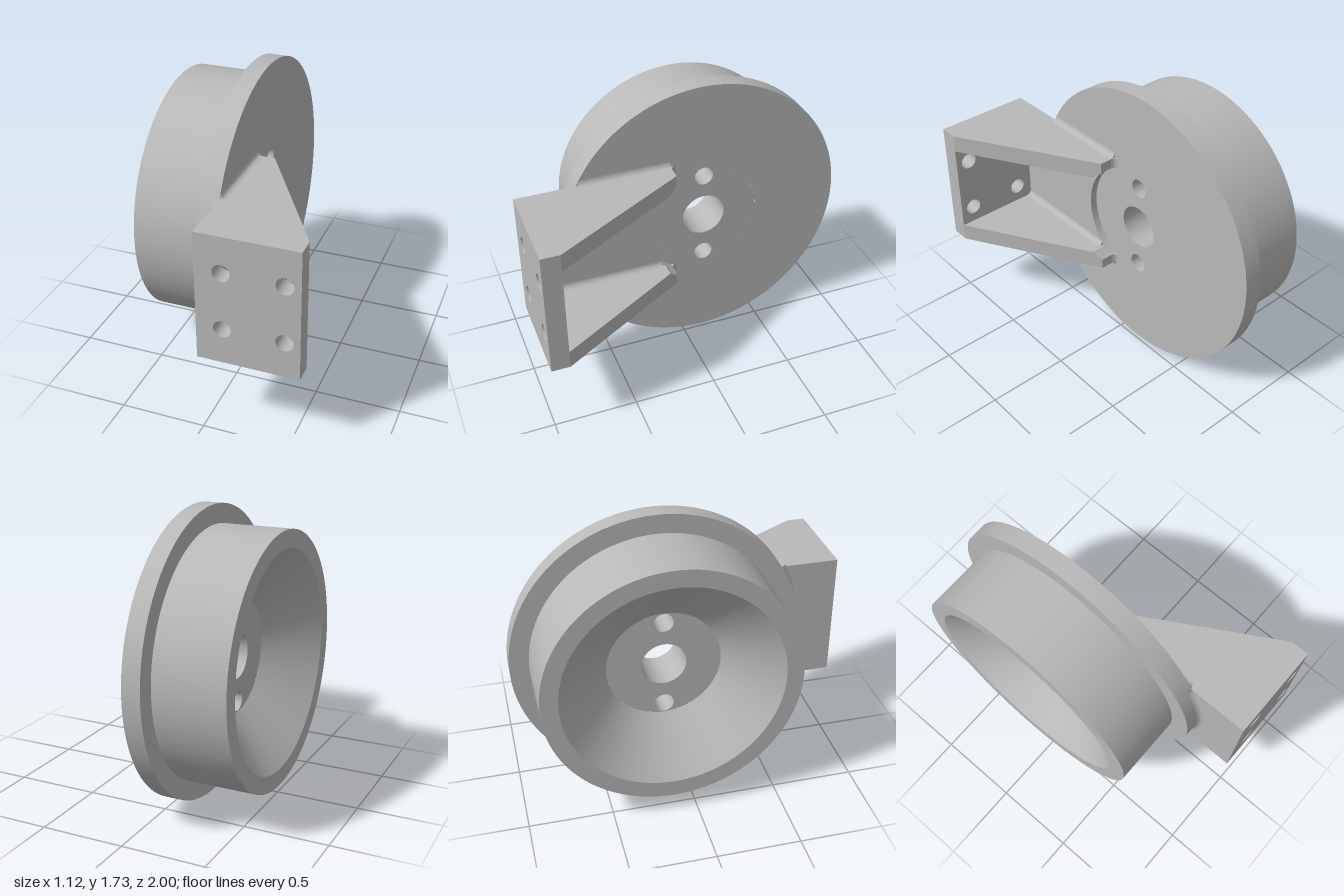
import * as THREE from 'three';
import { toCreasedNormals } from 'three/addons/utils/BufferGeometryUtils.js';

const CY = 0.867, CZ = -0.133;        // wheel axis (runs along x)
const FACE = -0.022;                  // outer face of the flange
const PLATE_Z = 0.89;                 // inner face of the mounting plate
const RIB_IN = 0.28, RIB_OUT = 0.388; // rib sides, measured from the axis
const RIB_END = 0.078;                // z where the ribs start
const RELIEF = 0.387;                 // round clearance about the hub
const FILLET = 0.034;

const steel = new THREE.MeshStandardMaterial({ color: 0xb8b8b8 });
steel.name = 'plain grey';

const V = (x, y) => new THREE.Vector2(x, y);

function hole(shape, x, y, r) {
  const p = new THREE.Path();
  p.absarc(x, y, r, 0, Math.PI * 2, true);
  shape.holes.push(p);
}

function extrude(shape, depth) {
  return new THREE.ExtrudeGeometry(shape, { depth, bevelEnabled: false, curveSegments: 32 });
}

// Shape drawn in (-z, y), extruded along +x
function extrudeX(shape, x0, x1) {
  return extrude(shape, x1 - x0).rotateY(Math.PI / 2).translate(x0, 0, 0);
}

// Clearance arc point at height h from the axis, in (-z, y)
const reliefPoint = (h) => V(-(CZ + Math.sqrt(RELIEF * RELIEF - h * h)), CY + h);

// Concave corner strip, extruded along z, spreading to +x and sy * y
function filletStrip(sy, length) {
  const pts = [V(0, 0)];
  for (let i = 0; i <= 8; i++) {
    const a = (i / 8) * Math.PI / 2;
    pts.push(V(FILLET * (1 - Math.sin(a)), sy * FILLET * (1 - Math.cos(a))));
  }
  return extrude(new THREE.Shape(pts), length);
}

export function createModel() {
  const model = new THREE.Group();
  model.name = 'flangedWheelBracket';
  const add = (name, geometry) => {
    const mesh = new THREE.Mesh(toCreasedNormals(geometry, 0.5), steel);
    mesh.name = name;
    model.add(mesh);
    return mesh;
  };

  // Drum, conical recess and flange in one turned ring
  const HUB_R = 0.338, HUB_X = -0.29;
  const ring = [
    V(HUB_R, HUB_X), V(0.65, -0.563), V(0.753, -0.563), V(0.753, -0.133),
    V(0.867, -0.133), V(0.867, FACE), V(HUB_R, FACE),
  ];
  add('drumAndFlange', new THREE.LatheGeometry(ring, 128)
    .rotateZ(-Math.PI / 2).translate(0, CY, CZ));

  // Hub floor with the axle bore and two pin holes
  const hub = new THREE.Shape();
  hub.absarc(0, 0, HUB_R, 0, Math.PI * 2, false);
  hole(hub, 0, 0, 0.133);
  hole(hub, 0, 0.275, 0.058);
  hole(hub, 0, -0.275, 0.058);
  add('hub', extrudeX(hub, HUB_X, FACE).translate(0, CY, CZ));

  // Mounting plate with four bolt holes
  const plate = new THREE.Shape([
    V(FACE, CY - RIB_OUT), V(0.56, CY - RIB_OUT), V(0.56, CY + RIB_OUT), V(FACE, CY + RIB_OUT),
  ]);
  for (const x of [0.127, 0.473])
    for (const s of [-1, 1]) hole(plate, x, CY + s * 0.173, 0.05);
  add('mountingPlate', extrude(plate, 1 - PLATE_Z).translate(0, 0, PLATE_Z));

  // Thin web between the ribs, cut round about the hub
  const BASE_X = 0.022;
  const web = [V(-PLATE_Z, CY - RIB_IN)];
  for (let i = 0; i <= 32; i++) web.push(reliefPoint(RIB_IN * (i / 16 - 1)));
  web.push(V(-PLATE_Z, CY + RIB_IN));
  add('web', extrudeX(new THREE.Shape(web), FACE, BASE_X));

  // Sloping ribs with their fillets
  const tip = Math.sqrt(RELIEF ** 2 - (RIB_END - CZ) ** 2);
  for (const s of [1, -1]) {
    const side = s > 0 ? 'upper' : 'lower';
    const outline = [V(-PLATE_Z, CY + s * RIB_IN)];
    for (let i = 0; i <= 6; i++) outline.push(reliefPoint(s * (RIB_IN + (tip - RIB_IN) * i / 6)));
    outline.push(V(-RIB_END, CY + s * RIB_OUT), V(-PLATE_Z, CY + s * RIB_OUT));
    const rib = extrudeX(new THREE.Shape(outline), 0, 1);
    const p = rib.attributes.position;
    for (let i = 0; i < p.count; i++) {
      const t = (p.getZ(i) - RIB_END) / (PLATE_Z - RIB_END);
      p.setX(i, p.getX(i) > 0.5 ? 0.083 + t * 0.477 : FACE);
    }
    add(side + 'Rib', rib);

    add(side + 'OuterFillet', filletStrip(s, 0.63 - RIB_END)
      .translate(FACE, CY + s * RIB_OUT, RIB_END));
    add(side + 'InnerFillet', filletStrip(-s, PLATE_Z - 0.15)
      .translate(BASE_X, CY + s * RIB_IN, 0.15));
    const endLength = RIB_OUT - tip;
    add(side + 'EndFillet', filletStrip(1, endLength).rotateX(-Math.PI / 2)
      .translate(FACE, CY + (s > 0 ? tip : -RIB_OUT), RIB_END));
  }

  // Fillet between the flange rim and the back of the web
  const rim = [];
  for (let i = 0; i <= 8; i++) {
    const a = (i / 8) * Math.PI / 2;
    rim.push(V(0.867 + FILLET * (1 - Math.cos(a)), FACE - FILLET * (1 - Math.sin(a))));
  }
  add('rimFillet', new THREE.LatheGeometry(rim, 24, -0.46, 0.92)
    .rotateZ(-Math.PI / 2).translate(0, CY, CZ));

  return model;
}
